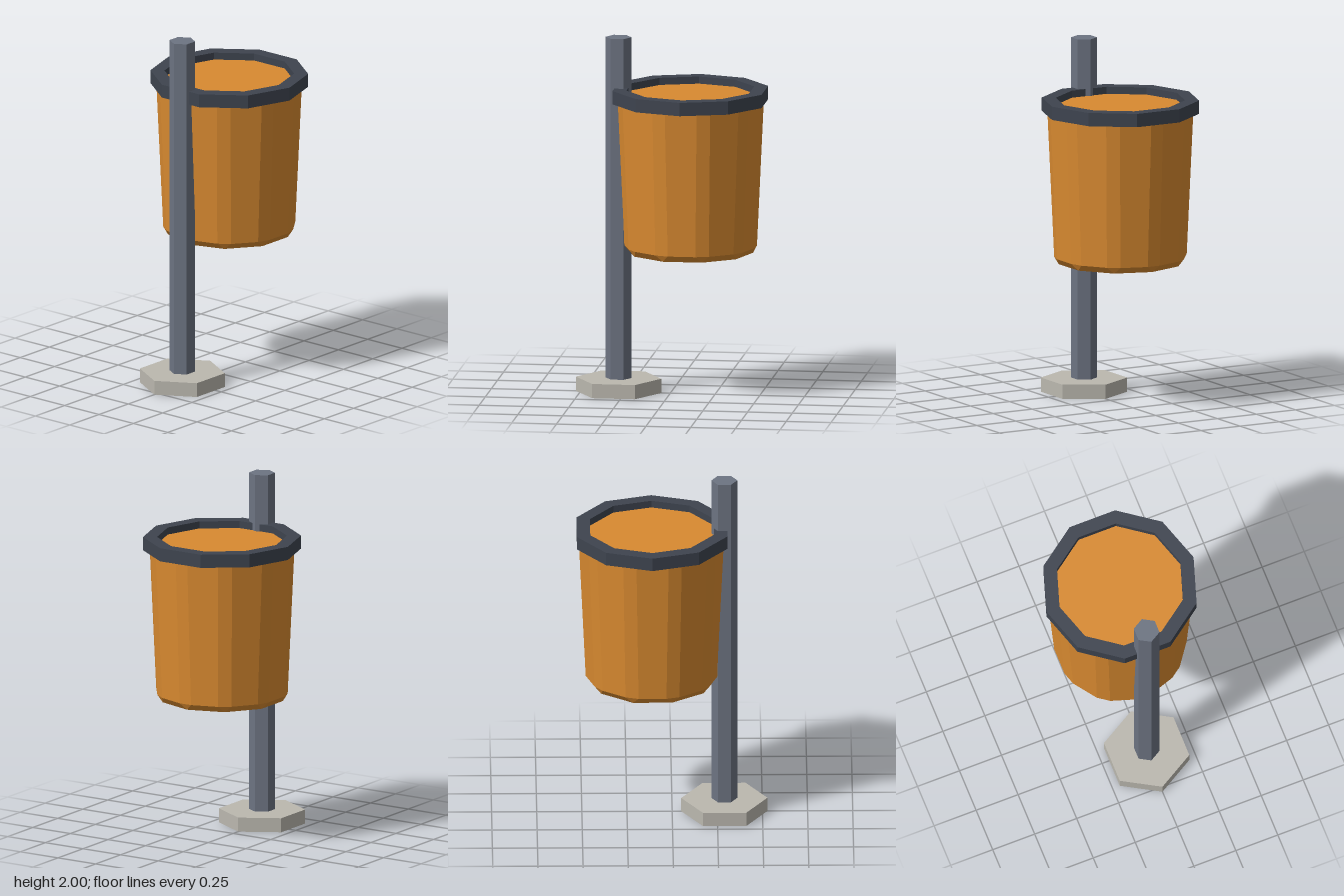
import * as THREE from 'three';

const SIDES = 10;
const STEP = (Math.PI * 2) / SIDES;

const paint = (name, color) => {
  const m = new THREE.MeshStandardMaterial({ color });
  m.name = name;
  return m;
};

// Flat facets: unshared vertices with face normals
function faceted(geometry) {
  const g = geometry.index ? geometry.toNonIndexed() : geometry;
  g.computeVertexNormals();
  return g;
}

function addPart(group, name, geometry, material, y, z) {
  const mesh = new THREE.Mesh(faceted(geometry), material);
  mesh.name = name;
  mesh.position.set(0, y, z);
  group.add(mesh);
}

// Ten-sided cross-section whose corners are cut back by `cut` along each edge
function cutLoop(apothem, cut, y) {
  const corner = (k) => new THREE.Vector3(Math.sin(k * STEP), 0, Math.cos(k * STEP))
    .multiplyScalar(apothem / Math.cos(STEP / 2)).setY(y);
  const points = [];
  for (let k = 0; k < SIDES; k++) {
    const c = corner(k);
    for (const side of [-1, 1]) {
      const along = corner(k + side).sub(c).setLength(cut);
      points.push(c.clone().add(along));
    }
  }
  return points;
}

// Skin between stacked loops, closed at both ends
function skin(loops) {
  const pos = [];
  const tri = (...pts) => pts.forEach((p) => pos.push(p.x, p.y, p.z));
  const n = loops[0].length;
  const centre = (loop) => new THREE.Vector3(0, loop[0].y, 0);
  const bottom = loops[0];
  const top = loops[loops.length - 1];
  for (let i = 0; i < n; i++) {
    const j = (i + 1) % n;
    for (let l = 0; l < loops.length - 1; l++) {
      const a = loops[l], b = loops[l + 1];
      if (a[i].distanceTo(a[j]) > 1e-6) tri(a[i], a[j], b[j]);
      if (b[i].distanceTo(b[j]) > 1e-6) tri(a[i], b[j], b[i]);
    }
    if (bottom[i].distanceTo(bottom[j]) > 1e-6) tri(centre(bottom), bottom[j], bottom[i]);
    if (top[i].distanceTo(top[j]) > 1e-6) tri(centre(top), top[i], top[j]);
  }
  const g = new THREE.BufferGeometry();
  g.setAttribute('position', new THREE.Float32BufferAttribute(pos, 3));
  return g;
}

// Ten-sided ring lying flat, resting on y = 0
function ring(outer, inner, height) {
  const corners = (r) => Array.from({ length: SIDES }, (_, k) =>
    new THREE.Vector2(Math.cos(k * STEP) * r, Math.sin(k * STEP) * r));
  const shape = new THREE.Shape(corners(outer));
  shape.holes.push(new THREE.Path(corners(inner)));
  return new THREE.ExtrudeGeometry(shape, { depth: height, bevelEnabled: false })
    .rotateX(-Math.PI / 2);
}

export function createModel() {
  const orange = paint('orange', 0xd98a30);
  const darkSlate = paint('dark slate', 0x3e444f);
  const steel = paint('steel grey', 0x6d7482);
  const concrete = paint('concrete', 0xbbb8af);

  const group = new THREE.Group();
  group.name = 'postMountedBin';
  const binZ = -0.112;
  const postZ = 0.289;

  // Tapered bin with bevelled corners and rims
  addPart(group, 'binBody', skin([
    cutLoop(0.333, 0, 0.803),
    cutLoop(0.361, 0.04, 0.838),
    cutLoop(0.397, 0.04, 1.645),
    cutLoop(0.367, 0, 1.68),
  ]), orange, 0, binZ);

  // Collar around the mouth
  addPart(group, 'rim', ring(0.438, 0.36, 0.075), darkSlate, 1.645, binZ);

  // Hexagonal post on its footing
  addPart(group, 'post', new THREE.CylinderGeometry(0.072, 0.072, 1.94, 6), steel, 1.03, postZ);
  addPart(group, 'footing', new THREE.CylinderGeometry(0.239, 0.239, 0.08, 6), concrete, 0.04, postZ);

  return group;
}
